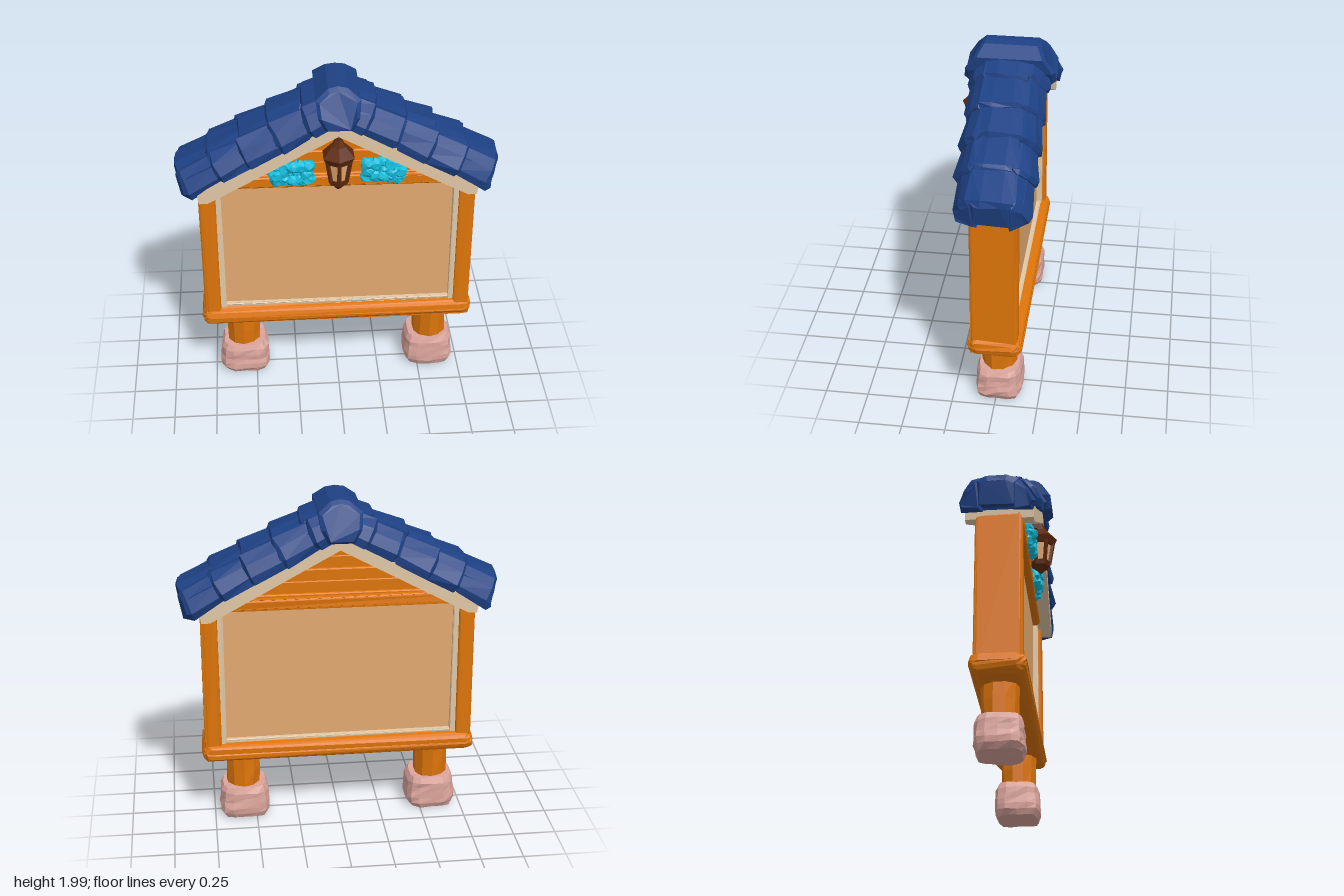
import * as THREE from 'three';
import { RoundedBoxGeometry } from 'three/addons/geometries/RoundedBoxGeometry.js';

const mat = (name, color) => {
  const m = new THREE.MeshStandardMaterial({ color, flatShading: true });
  m.name = name;
  return m;
};

// Position-based wobble, identical for vertices that share a corner
const noise = (x, y, z, k) => {
  const q = v => Math.round(v * 1000) / 1000 + 0;
  const s = Math.sin(q(x) * 127.1 + q(y) * 311.7 + q(z) * 74.7 + k * 19.3) * 437.58;
  return (s - Math.floor(s)) - 0.5;
};

// Move every vertex by a rule, then refresh the normals
function warp(geo, rule) {
  const p = geo.attributes.position, v = new THREE.Vector3();
  for (let i = 0; i < p.count; i++) {
    rule(v.fromBufferAttribute(p, i));
    p.setXYZ(i, v.x, v.y, v.z);
  }
  geo.computeVertexNormals();
  return geo;
}
const rough = (geo, amount, seed = 0) => warp(geo, v => {
  const d = [0, 1, 2].map(k => noise(v.x, v.y, v.z, k + seed) * amount);
  v.set(v.x + d[0], v.y + d[1], v.z + d[2]);
});

const polygon = pts => new THREE.Shape(pts.map(p => new THREE.Vector2(...p)));

// Extrusion centred on z = 0
function slab(pts, depth, bevel = 0) {
  const g = new THREE.ExtrudeGeometry(polygon(pts), {
    depth: depth - 2 * bevel, bevelEnabled: bevel > 0, bevelSize: bevel,
    bevelThickness: bevel, bevelOffset: -bevel, bevelSegments: 1,
  });
  return g.translate(0, 0, -(depth - 2 * bevel) / 2);
}

// Boulder with rounded plan corners and a stepped side profile
function boulder(w, h, d, seed) {
  const profile = [0.86, 0.99, 1, 0.96, 0.95, 0.94, 0.84];
  const g = warp(new THREE.BoxGeometry(2, 2, 2, 4, 6, 4), v => {
    const k = profile[Math.round((v.y + 1) * 3)];
    const r = Math.hypot(v.x ** 2, v.z ** 2) ** 0.5 || 1;
    const f = k * Math.max(Math.abs(v.x), Math.abs(v.z)) / r;
    v.set(v.x * f * w / 2, v.y * h / 2, v.z * f * d / 2);
  });
  return rough(g, 0.01, seed);
}

export function createModel() {
  const wood = mat('orange wood', 0xde750a), blue = mat('blue tile', 0x1e4184);
  const cream = mat('cream trim', 0xe2c8a6), tan = mat('tan board', 0xe2a970);
  const stone = mat('pink stone', 0xdba59c), brown = mat('dark brown metal', 0x5e2a0f);
  const cyan = mat('cyan leaves', 0x14bfde);

  const model = new THREE.Group();
  const add = (name, geo, material, x = 0, y = 0, z = 0, parent = model) => {
    const m = new THREE.Mesh(geo, material);
    m.name = name;
    m.position.set(x, y, z);
    parent.add(m);
    return m;
  };
  const block = (w, h, d, r, amount = 0.01, seed = 0) =>
    rough(new RoundedBoxGeometry(w, h, d, 2, r), amount, seed);

  // Feet, legs and side posts
  for (const s of [-1, 1]) {
    add('foot', boulder(0.3, 0.2, 0.275, s), stone, s * 0.568, 0.11, -0.012);
    const leg = rough(new THREE.CylinderGeometry(0.104, 0.1, 0.24, 10, 2), 0.01, s);
    add('leg', leg, wood, s * 0.573, 0.31, -0.01);
    add('post', block(0.096, 0.94, 0.265, 0.02, 0.01, s), wood, s * 0.748, 0.88, -0.005);
  }

  // Frame rails and notice board with its cream surround
  add('bottomBeam', block(1.63, 0.12, 0.31, 0.055, 0.012), wood, 0, 0.457, -0.008);
  add('topBeam', block(1.5, 0.07, 0.25, 0.015, 0.01), wood, 0, 1.383, -0.005);
  add('board', new THREE.BoxGeometry(1.4, 0.87, 0.16), tan, 0, 0.925, -0.005);
  for (const s of [-1, 1]) {
    add('sideTrim', block(0.04, 0.84, 0.225, 0.008, 0.006), cream, s * 0.689, 0.925, -0.005);
  }
  add('bottomTrim', block(1.36, 0.03, 0.21, 0.008, 0.006), cream, 0, 0.518, -0.005);

  // Gable of stacked planks under a cream chevron
  const half = y => (1.75 - y) * 1.87;
  for (let i = 0; i < 5; i++) {
    const y0 = 1.36 + i * 0.074, y1 = y0 + 0.072;
    const pts = [[-half(y0), y0], [half(y0), y0], [half(y1), y1], [-half(y1), y1]];
    add('gablePlank', slab(pts, i % 2 ? 0.19 : 0.21, 0.006), wood);
  }
  const chevron = [[0, 1.82], [-0.8, 1.375], [-0.79, 1.31], [-0.74, 1.31], [0, 1.715],
    [0.74, 1.31], [0.79, 1.31], [0.8, 1.375]];
  add('eaveTrim', slab(chevron, 0.38), cream);

  // Roof tiles: sections across the roof, measured down from its top surface
  const middle = [[-0.125, -0.17], [-0.125, -0.015], [-0.06, 0.003], [0.06, 0.003], [0.125, -0.015], [0.125, -0.17]];
  const side = [[0.09, -0.19], [0.1, -0.012], [0.14, -0.018], [0.19, -0.065], [0.232, -0.135], [0.218, -0.19]];
  const sections = [middle, side, side.map(([z, h]) => [-z, h])];
  const tile = (pts, length, seed, eave) => {
    const g = slab(pts, length, 0.022).rotateY(Math.PI / 2);
    warp(g, v => {
      const t = v.x / length + 0.5, k = 0.88 + 0.13 * t;
      v.z *= k;
      v.y = -0.1 + (v.y + 0.1) * k + 0.012 * t;
      // The lowest row curls down at the middle and is rounded off at the corners
      if (eave) {
        v.x += t * (0.012 - v.y * 0.3 - (v.z / 0.23) ** 2 * 0.055);
        v.y -= 0.02 * t;
        v.z *= 1 - 0.1 * t ** 3;
      }
    });
    return rough(g, 0.016, seed);
  };
  for (const turn of [0, Math.PI]) {
    const holder = new THREE.Group(), slope = new THREE.Group();
    holder.name = turn ? 'rightRoof' : 'leftRoof';
    holder.rotation.y = turn;
    holder.position.z = -0.008;
    slope.name = 'roofSlope';
    slope.position.y = 1.992;
    slope.rotation.z = -0.485;
    holder.add(slope);
    model.add(holder);
    add('roofCore', new THREE.BoxGeometry(0.92, 0.12, 0.34), blue, 0.54, -0.13, 0, slope);
    for (let row = 0; row < 5; row++) {
      sections.forEach((pts, j) => {
        const shift = row < 4 ? noise(row, j, turn, 5) * 0.03 : 0;
        add('roofTile', tile(pts, 0.24, row * 7 + j, row === 4), blue, 0.13 + row * 0.2 + shift, 0, 0, slope);
      });
    }
  }

  // Ridge cap, flaring out towards its lower rim
  const cap = [[-0.075, 1.77], [-0.115, 1.85], [-0.125, 1.935], [-0.055, 1.99], [0, 2],
    [0.055, 1.99], [0.125, 1.935], [0.115, 1.85], [0.075, 1.77]];
  add('ridgeCap', warp(slab(cap, 0.55, 0.02), v => {
    v.z *= v.y > 1.82 ? 1 - (v.y - 1.82) / 0.18 * 0.45 : 0.9 + (v.y - 1.77) * 2;
  }), blue, 0, 0, -0.008);

  // Leaf clusters on the front of the gable
  for (const s of [-1, 1]) {
    for (let i = 0; i < 15; i++) {
      const row = Math.floor(i / 5);
      const x = s * (0.168 + (i % 5) * 0.044 + (row === 1 ? 0.008 : 0));
      const y = 1.42 + row * 0.043 - Math.abs(i % 5 - 1.5) * 0.004 + noise(i, s, 1, 2) * 0.02;
      const leaf = rough(new THREE.IcosahedronGeometry(0.042, 1), 0.015, i).scale(1, 0.95, 0.8);
      add('leafCluster', leaf, cyan, x, y, 0.125 + noise(i, s, 2, 1) * 0.03);
    }
  }

  // Hanging lantern
  const lantern = new THREE.Group();
  lantern.name = 'lantern';
  lantern.position.z = 0.175;
  model.add(lantern);
  const ring = (name, top, bottom, h, y, m = brown) =>
    add(name, new THREE.CylinderGeometry(top, bottom, h, 6), m, 0, y, 0, lantern);
  ring('lanternGlass', 0.066, 0.046, 0.14, 1.5, tan);
  ring('lanternRim', 0.1, 0.08, 0.04, 1.575);
  ring('lanternRoof', 0.045, 0.1, 0.06, 1.625);
  ring('lanternNeck', 0.022, 0.042, 0.04, 1.672);
  ring('lanternFinial', 0.008, 0.024, 0.07, 1.715);
  ring('lanternBase', 0.062, 0.055, 0.03, 1.428);
  ring('lanternTip', 0.045, 0.012, 0.04, 1.395);
  for (let i = 0; i < 6; i++) {
    const a = i * Math.PI / 3;
    const bar = new THREE.LineCurve3(
      new THREE.Vector3(Math.sin(a) * 0.05, 1.43, Math.cos(a) * 0.05),
      new THREE.Vector3(Math.sin(a) * 0.075, 1.575, Math.cos(a) * 0.075));
    add('lanternBar', new THREE.TubeGeometry(bar, 1, 0.013, 5), brown, 0, 0, 0, lantern);
  }
  add('lanternBracket', new THREE.BoxGeometry(0.03, 0.03, 0.12), brown, 0, 1.69, -0.05, lantern);

  return model;
}
